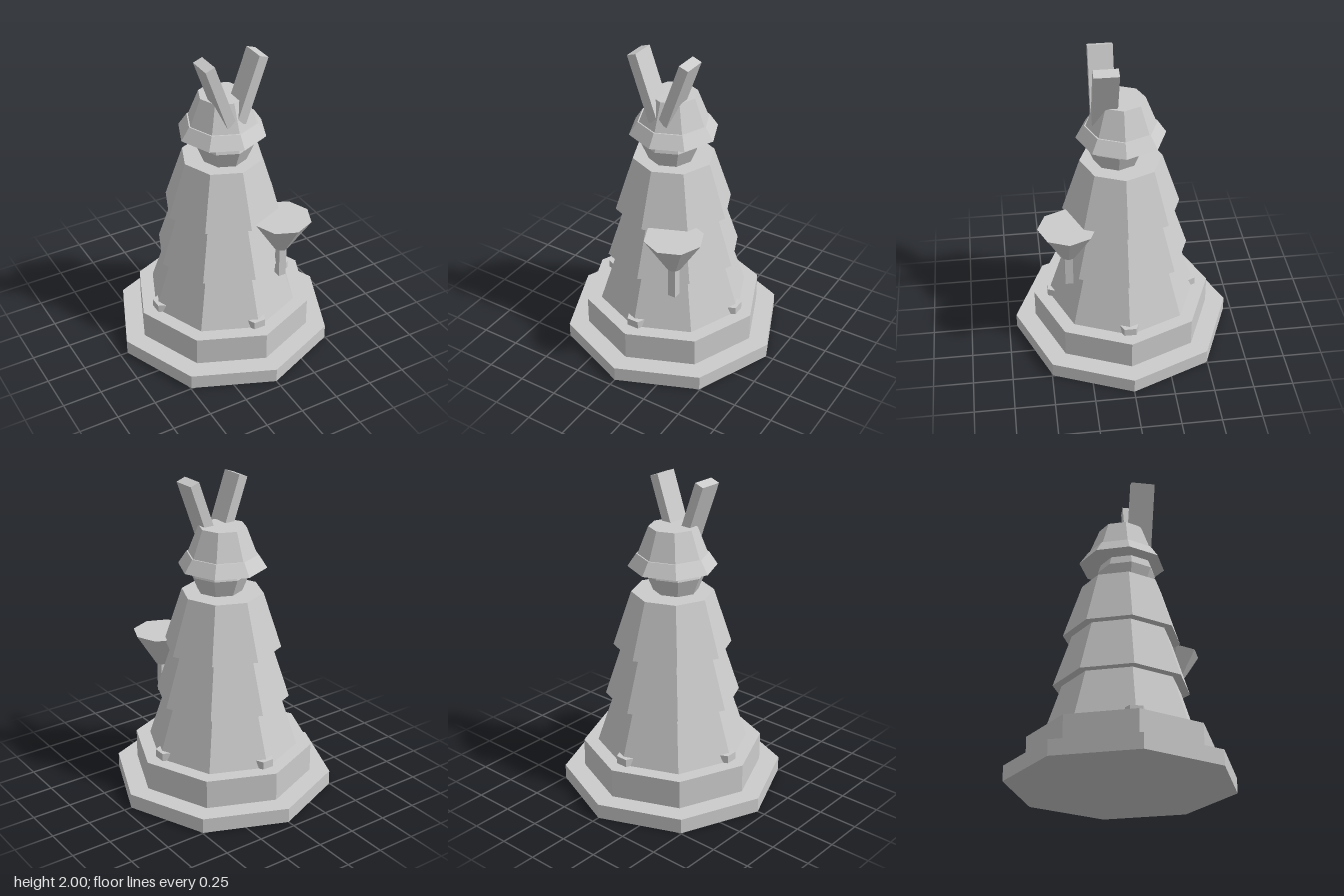
import * as THREE from 'three';

const material = new THREE.MeshStandardMaterial({ color: 0xcccccc, flatShading: true });

export function createModel() {
  const model = new THREE.Group();

  const add = (name, geometry, x = 0, y = 0, z = 0) => {
    const mesh = new THREE.Mesh(geometry, material);
    mesh.name = name;
    mesh.position.set(x, y, z);
    model.add(mesh);
    return mesh;
  };

  // Eight-sided frustum between two heights, corners on the axes
  const frustum = (name, y0, y1, r0, r1, x = 0, z = 0) =>
    add(name, new THREE.CylinderGeometry(r1, r0, y1 - y0, 8), x, (y0 + y1) / 2, z);

  // Stepped plinth
  frustum('plinthLower', 0, 0.095, 0.7, 0.7);
  frustum('plinthUpper', 0.095, 0.28, 0.572, 0.572);

  // Tapering body tiers, each overhanging the one below
  frustum('bodyTierLower', 0.28, 0.615, 0.48, 0.37);
  frustum('bodyTierMiddle', 0.615, 0.95, 0.425, 0.315);
  frustum('bodyTierUpper', 0.95, 1.3, 0.37, 0.255);

  // Neck, set slightly forward
  frustum('neckLower', 1.3, 1.41, 0.14, 0.185, 0, 0.03);
  frustum('neckUpper', 1.41, 1.47, 0.185, 0.165, 0, 0.03);

  // Head with a flared brim
  frustum('headBrim', 1.465, 1.545, 0.275, 0.222);
  frustum('headCrown', 1.545, 1.715, 0.213, 0.147);

  // Pair of slanted horns
  for (const side of [-1, 1]) {
    const horn = add(side > 0 ? 'hornLeft' : 'hornRight',
      new THREE.BoxGeometry(0.063, 0.425, 0.15), side * 0.104, 1.789, 0.105);
    horn.rotation.z = -side * 0.345;
  }

  // Funnel on a short post
  frustum('funnel', 0.745, 0.965, 0.045, 0.184, 0.222, 0.355);
  add('funnelPost', new THREE.BoxGeometry(0.05, 0.21, 0.05), 0.222, 0.645, 0.355);

  // Small foot brackets on the four body corners
  const footprint = new THREE.Shape([
    [-0.058, 0.4], [0.058, 0.4], [0.058, 0.443], [0.038, 0.486], [-0.038, 0.486], [-0.058, 0.443],
  ].map(([x, y]) => new THREE.Vector2(x, y)));
  const bracket = new THREE.ExtrudeGeometry(footprint, { depth: 0.05, bevelEnabled: false });
  bracket.rotateX(Math.PI / 2);
  for (let i = 0; i < 4; i++) {
    add('footBracket', bracket, 0, 0.33, 0).rotation.y = i * Math.PI / 2;
  }

  return model;
}
